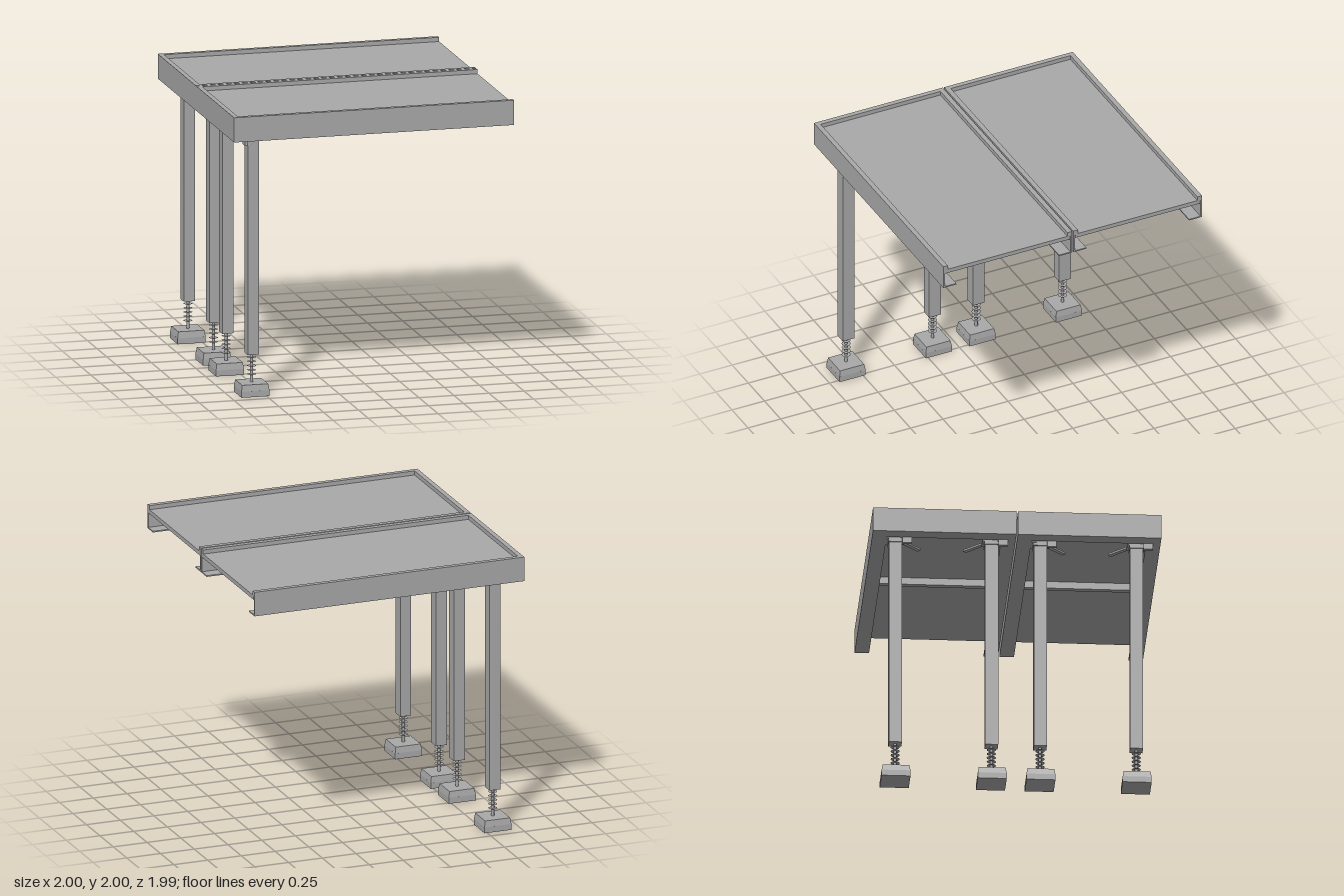
import * as THREE from 'three';

export function createModel() {
  const model = new THREE.Group();
  model.name = 'stagePlatform';
  const metal = new THREE.MeshStandardMaterial({ color: 0xa8a8a8 });
  metal.name = 'grey metal';
  metal.side = THREE.DoubleSide;

  const add = (parent, name, geometry, x = 0, y = 0, z = 0, ry = 0) => {
    const mesh = new THREE.Mesh(geometry, metal);
    mesh.name = name;
    mesh.position.set(x, y, z);
    mesh.rotation.y = ry;
    parent.add(mesh);
    return mesh;
  };
  const box = (w, h, d) => new THREE.BoxGeometry(w, h, d);

  // Edge rail section: raised lip, thin web and bottom flange
  const section = new THREE.Shape([
    [0, 1.825], [0.1, 1.825], [0.1, 1.834], [0.012, 1.834],
    [0.012, 1.965], [0.035, 1.965], [0.035, 2], [0, 2],
  ].map(([u, y]) => new THREE.Vector2(u, y)));
  const rail = (length) => new THREE.ExtrudeGeometry(section, { depth: length, bevelEnabled: false });

  // Foot block with a slightly tapered upper half
  const footTop = new THREE.CylinderGeometry(0.0925 * Math.SQRT2, 0.1 * Math.SQRT2, 0.045, 4)
    .rotateY(Math.PI / 4).toNonIndexed();
  footTop.computeVertexNormals();

  const createLeg = (side) => {
    const leg = new THREE.Group();
    leg.name = 'adjustableLeg';
    add(leg, 'footBase', box(0.2, 0.042, 0.2), 0, 0.021, 0);
    add(leg, 'footTop', footTop, 0, 0.0635, 0);
    add(leg, 'screwRod', new THREE.CylinderGeometry(0.011, 0.011, 0.21, 12), 0, 0.185, 0);
    // Thin thread discs along the screw
    for (let i = 0; i < 5; i++) {
      add(leg, 'screwThread', new THREE.CircleGeometry(0.032, 12).rotateX(-Math.PI / 2), 0, 0.14 + i * 0.03, 0);
    }
    add(leg, 'post', box(0.08, 1.605, 0.09), 0, 1.0875, 0);
    // Collar, mounting plate and locking tab
    add(leg, 'collar', box(0.1, 0.022, 0.1), 0, 1.813, 0);
    add(leg, 'headPlate', box(0.1, 0.015, 0.13), 0, 1.832, 0);
    add(leg, 'underPlate', box(0.2, 0.006, 0.2), 0, 1.937, 0);
    add(leg, 'lockTab', box(0.022, 0.045, 0.065), -0.067, 1.805, 0.0775);
    // Flat bar across the frame corner
    add(leg, 'cornerBrace', box(0.44, 0.014, 0.03), 0.02, 1.846, -side * 0.02, side * Math.PI / 4);
    return leg;
  };

  const half = 0.495;
  for (const center of [0.5, -0.5]) {
    const section2 = new THREE.Group();
    section2.name = 'platformSection';
    section2.position.z = center;
    model.add(section2);

    // Frame, open at the +x end
    add(section2, 'frontRail', rail(2), -1, 0, half, Math.PI / 2);
    add(section2, 'backRail', rail(2), 1, 0, -half, -Math.PI / 2);
    add(section2, 'endRail', rail(2 * half - 0.024), -1, 0, -half + 0.012);

    // Deck panel and its middle support
    add(section2, 'deckPanel', box(1.98, 0.03, 2 * half - 0.03), 0.01, 1.955, 0);
    add(section2, 'crossBeam', box(0.04, 0.055, 0.79), 0.02, 1.9175, 0);

    for (const side of [1, -1]) {
      const leg = createLeg(side);
      leg.position.set(-0.83, 0, side * 0.332);
      section2.add(leg);
    }
  }
  return model;
}
